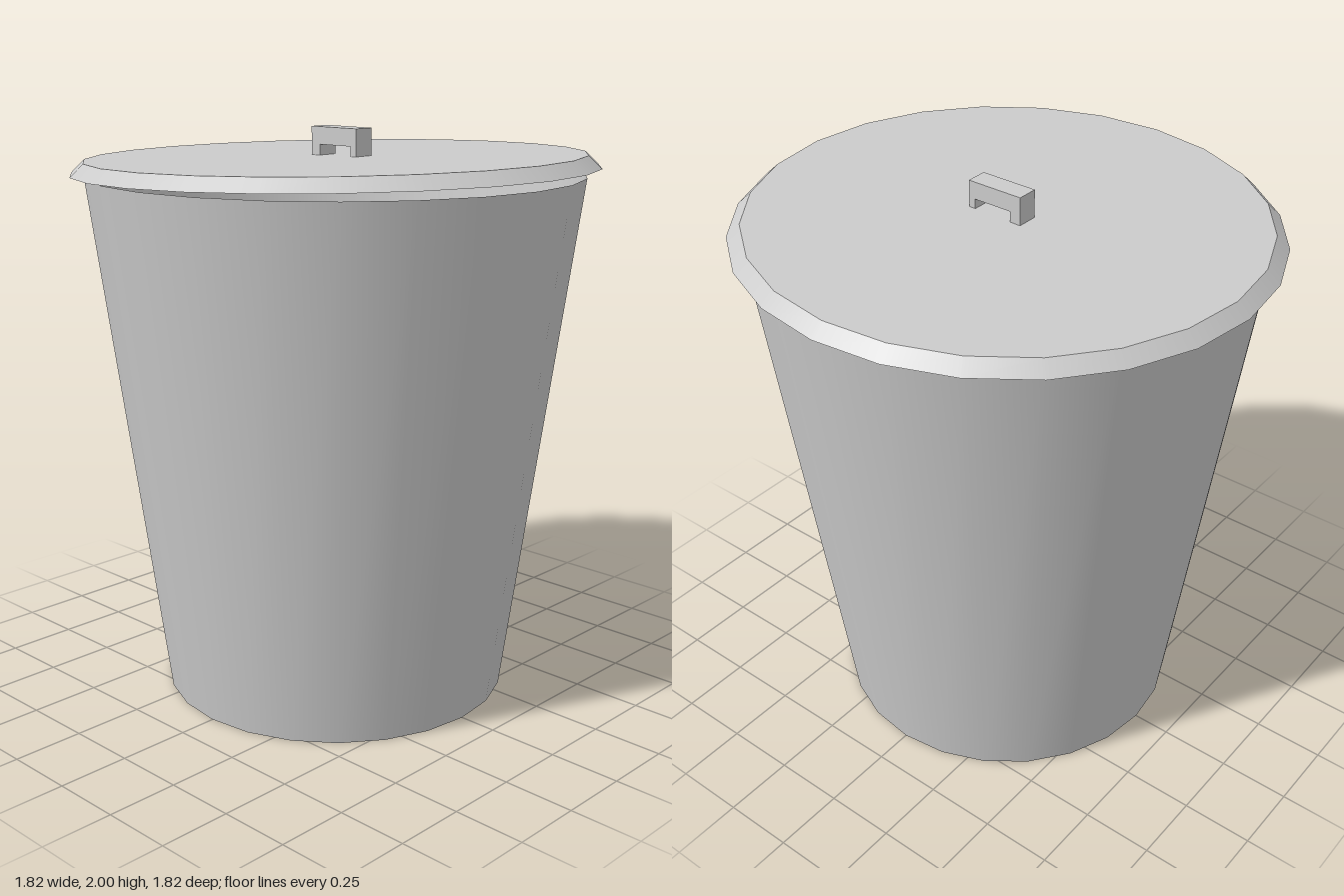
import * as THREE from 'three';

const SIDES = 24;

export function createModel() {
  const model = new THREE.Group();
  const grey = new THREE.MeshStandardMaterial({ color: 0xcccccc });
  const flat = new THREE.MeshStandardMaterial({ color: 0xcccccc, flatShading: true });
  const open = new THREE.MeshStandardMaterial({ color: 0xcccccc, side: THREE.DoubleSide });

  const add = (name, geometry, material, parent = model) => {
    const mesh = new THREE.Mesh(geometry, material);
    mesh.name = name;
    parent.add(mesh);
    return mesh;
  };

  // Tapered bin: smooth open wall and a flat base
  const height = 1.845;
  add('binWall', new THREE.CylinderGeometry(0.86, 0.615, height, SIDES, 1, true), open)
    .position.y = height / 2;
  add('binBase', new THREE.CircleGeometry(0.615, SIDES), open).rotation.x = Math.PI / 2;

  // Shallow lid with a sloping rim, resting slightly askew
  const lid = add('lid', new THREE.CylinderGeometry(0.862, 0.908, 0.044, SIDES), grey);
  lid.position.y = 1.882;
  lid.rotation.z = 0.021;

  // Bracket handle, its legs sunk into the lid
  const profile = new THREE.Shape([
    [-0.08, 1.85], [-0.04, 1.85], [-0.04, 1.94], [0.105, 1.94],
    [0.105, 1.87], [0.13, 1.87], [0.13, 2], [-0.08, 2],
  ].map(([x, y]) => new THREE.Vector2(x, y)));
  const handle = new THREE.ExtrudeGeometry(profile, { depth: 0.076, bevelEnabled: false });
  add('lidHandle', handle, flat).position.z = -0.042;

  return model;
}
